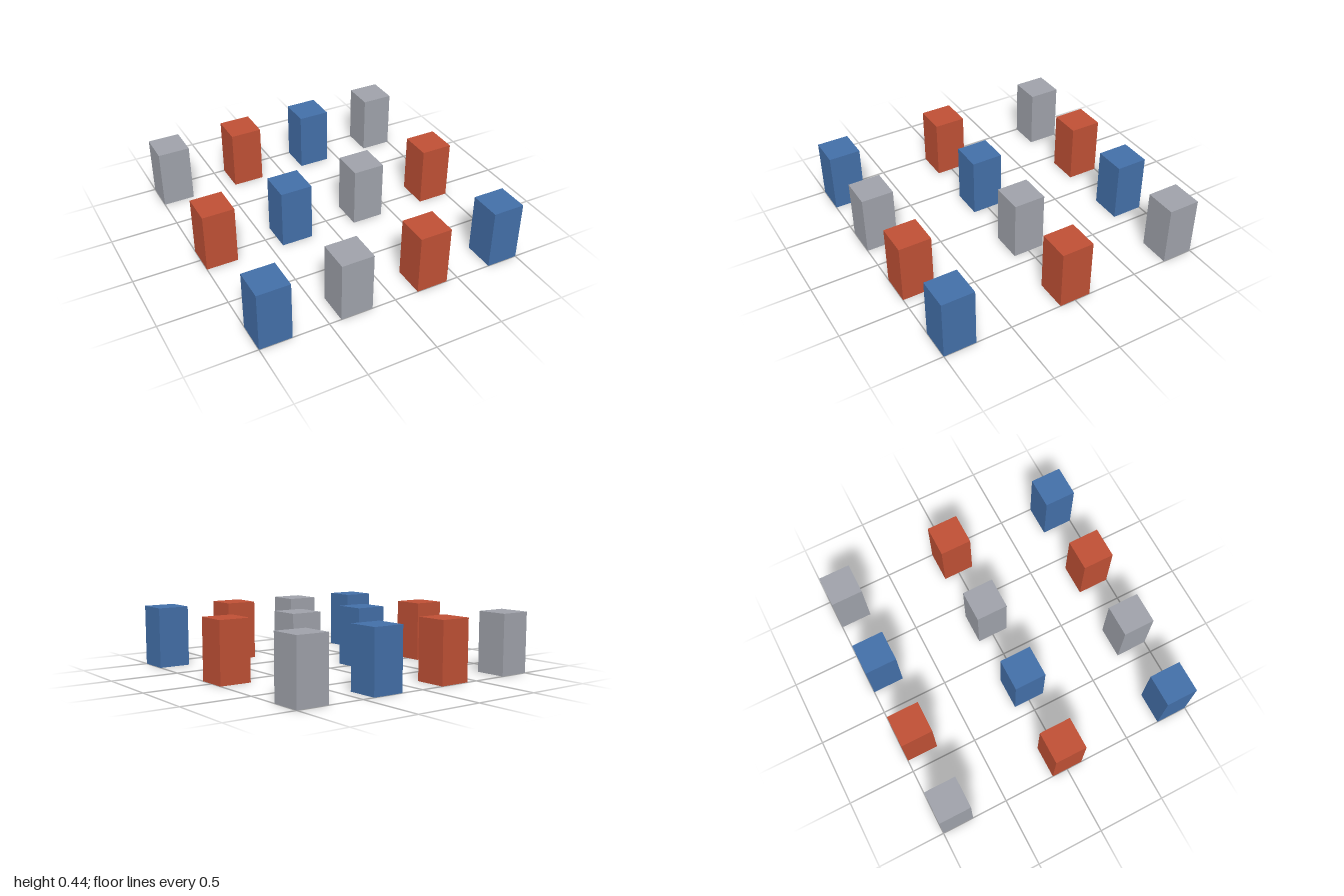
import * as THREE from 'three';

const WIDTH = 4 / 17;
const HEIGHT = 0.444;
const COLUMN_STEP = 10 / 17;
const ROW_STEP = 15 / 17;

export function createModel() {
  const model = new THREE.Group();
  model.name = 'blockGrid';

  const paint = (name, color) => {
    const material = new THREE.MeshStandardMaterial({ color });
    material.name = name;
    return material;
  };
  const paints = [paint('blue', 0x436fa8), paint('grey', 0x9fa2aa), paint('red', 0xbf5035)];

  // One upright block, resting on the ground
  const block = new THREE.BoxGeometry(WIDTH, HEIGHT, WIDTH).translate(0, HEIGHT / 2, 0);

  // Three rows from front to back, four blocks each, colours cycling diagonally
  for (let row = 0; row < 3; row++) {
    const rowGroup = new THREE.Group();
    rowGroup.name = ['frontRow', 'middleRow', 'backRow'][row];
    rowGroup.position.z = (1 - row) * ROW_STEP;
    for (let column = 0; column < 4; column++) {
      const material = paints[(column + 2 * row) % 3];
      const mesh = new THREE.Mesh(block, material);
      mesh.name = `${material.name}Block${column + 1}`;
      mesh.position.x = (column - 1.5) * COLUMN_STEP;
      rowGroup.add(mesh);
    }
    model.add(rowGroup);
  }
  return model;
}
